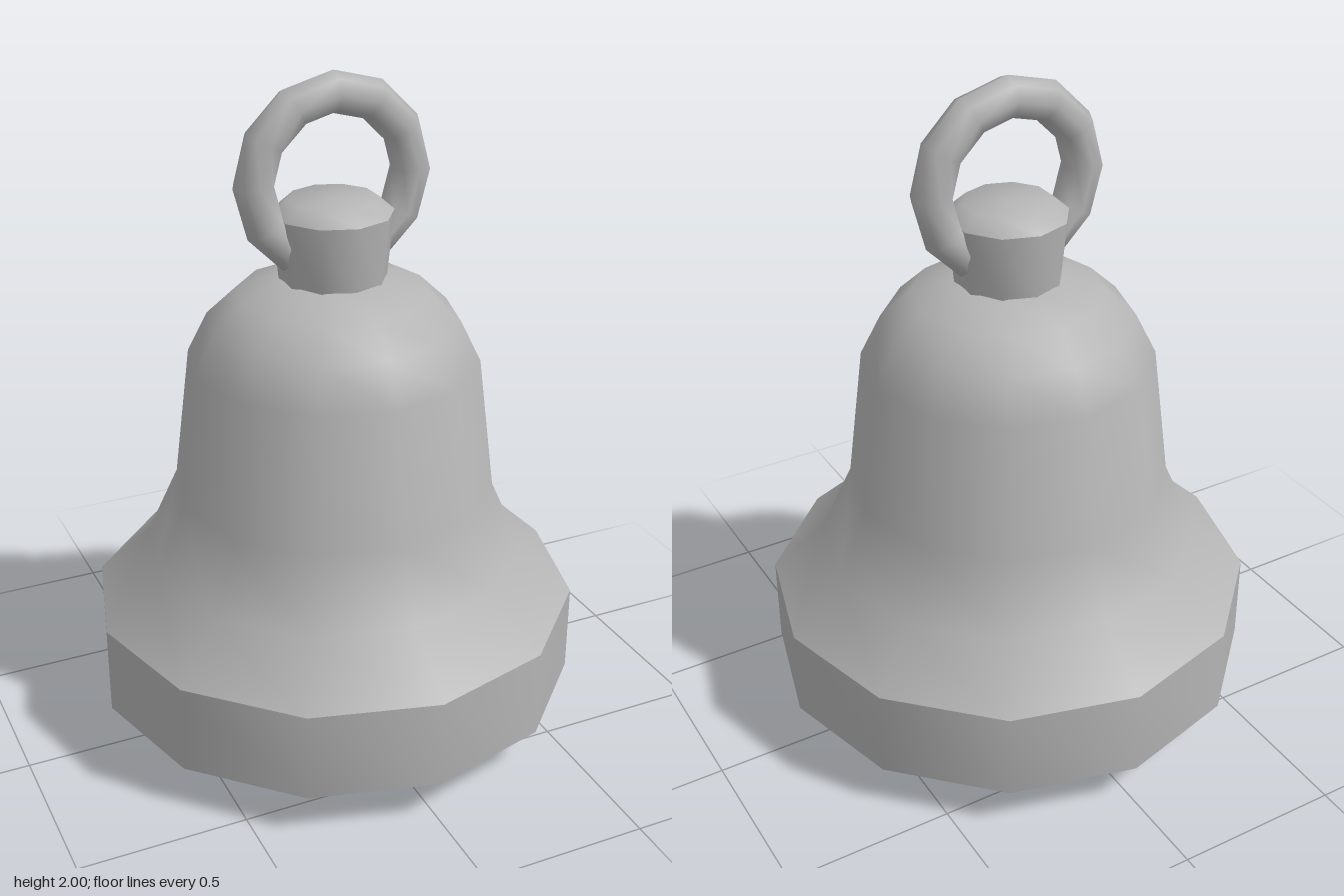
import * as THREE from 'three';
import { toCreasedNormals } from 'three/addons/utils/BufferGeometryUtils.js';

export function createModel() {
  const model = new THREE.Group();
  model.name = 'bell';
  const metal = new THREE.MeshStandardMaterial({ color: 0xb4b4b4 });
  metal.name = 'grey metal';

  const add = (name, geometry, y = 0) => {
    const mesh = new THREE.Mesh(geometry, metal);
    mesh.name = name;
    mesh.position.y = y;
    model.add(mesh);
    return mesh;
  };
  const lathe = (profile, sides) => toCreasedNormals(
    new THREE.LatheGeometry(profile.map(([r, y]) => new THREE.Vector2(r, y)), sides), 0.77);

  // Hollow shell: down the inside, across the rim, up the outside
  add('bellShell', lathe([
    [0, 1.33], [0.23, 1.29], [0.30, 1.22], [0.345, 1.13], [0.39, 0.75], [0.48, 0.52], [0.62, 0.36], [0.62, 0.13],
    [0.735, 0.13], [0.735, 0.40], [0.575, 0.55], [0.48, 0.76], [0.43, 1.16],
    [0.37, 1.28], [0.28, 1.365], [0.15, 1.41], [0, 1.41],
  ], 12));

  // Knob on the crown, flaring upward with a bevelled top
  add('crownKnob', lathe([[0.155, 1.39], [0.175, 1.60], [0.13, 1.64], [0, 1.64]], 10));

  // Hanging ring through the knob
  add('hangingRing', new THREE.TorusGeometry(0.24, 0.06, 8, 12), 1.70);

  // Clapper: rod and ball
  add('clapperRod', new THREE.CylinderGeometry(0.055, 0.055, 1.1, 10, 1, true), 0.82);
  add('clapperBall', new THREE.SphereGeometry(0.175, 10, 6), 0.175);

  return model;
}
